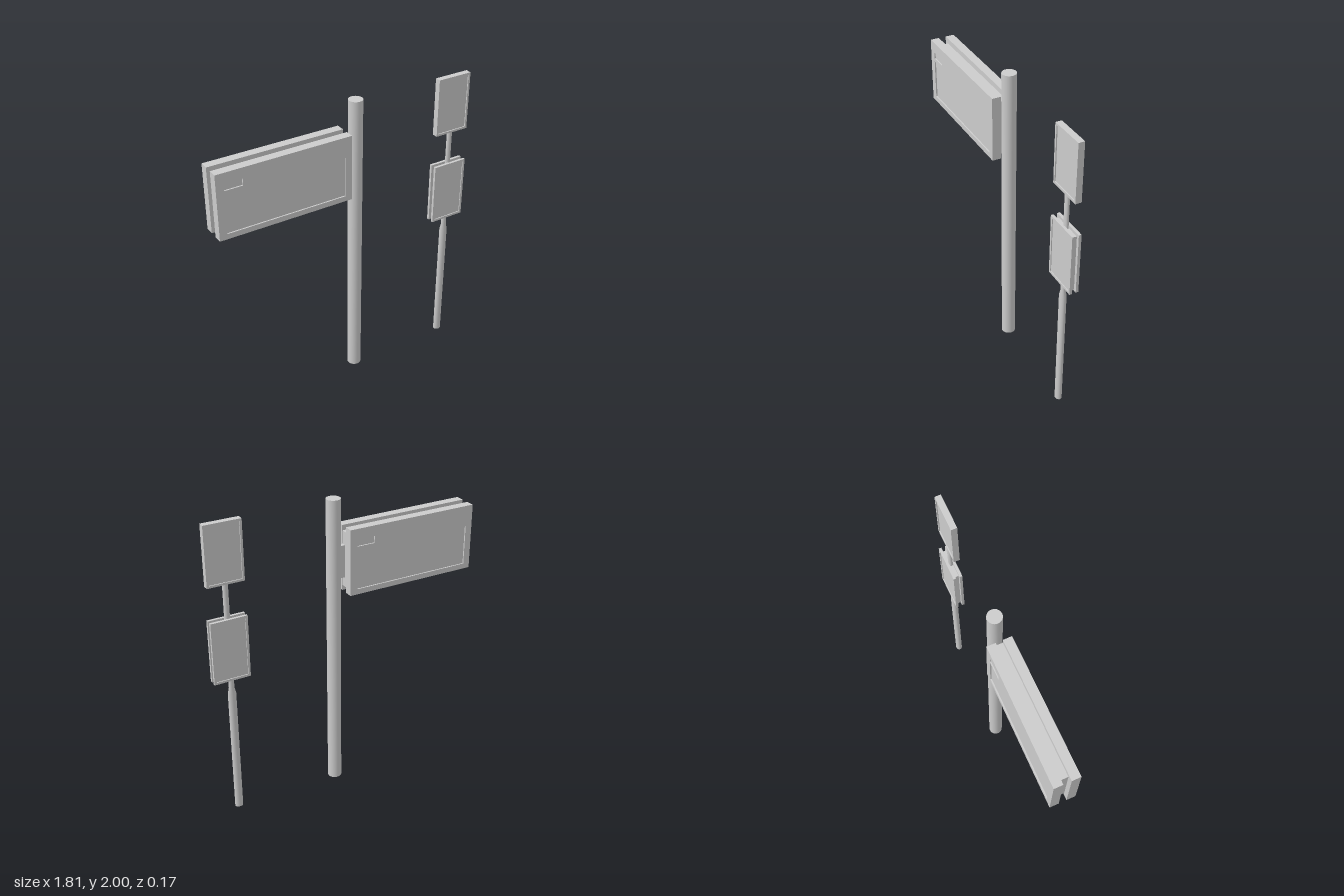
import * as THREE from 'three';

const grey = new THREE.MeshStandardMaterial({ color: 0xcccccc });

function add(parent, name, geometry, x = 0, y = 0, z = 0) {
  const mesh = new THREE.Mesh(geometry, grey);
  mesh.name = name;
  mesh.position.set(x, y, z);
  parent.add(mesh);
  return mesh;
}

// rectangle as [left, bottom, right, top]
function trace(path, [l, b, r, t]) {
  path.moveTo(l, b);
  path.lineTo(r, b);
  path.lineTo(r, t);
  path.lineTo(l, t);
  path.closePath();
  return path;
}

// slab centred on its origin, with recesses cut in its front (and back if doubleFaced)
function slab(name, w, h, d, depth, recesses, doubleFaced = false) {
  const group = new THREE.Group();
  group.name = name;
  const shape = trace(new THREE.Shape(), [-w / 2, -h / 2, w / 2, h / 2]);
  shape.holes = recesses.map((r) => trace(new THREE.Path(), r));
  const rim = new THREE.ExtrudeGeometry(shape, { depth, bevelEnabled: false });
  const core = d - depth * (doubleFaced ? 2 : 1);
  const front = d / 2 - depth;
  add(group, 'core', new THREE.BoxGeometry(w, h, core), 0, 0, front - core / 2);
  add(group, 'frontRim', rim, 0, 0, front);
  if (doubleFaced) add(group, 'backRim', rim, 0, 0, -front).rotation.y = Math.PI;
  return group;
}

// large flag sign on a thick post
function flagSign() {
  const sign = new THREE.Group();
  sign.name = 'flagSign';
  add(sign, 'post', new THREE.CylinderGeometry(0.046, 0.046, 2, 32), 0.067, 1, 0.007);

  const w = 0.9, h = 0.435, cx = -0.455, cy = 1.593;
  const recesses = [
    [-w / 2 + 0.05, -h / 2 + 0.035, w / 2 - 0.045, h / 2 - 0.135], // main display
    [-w / 2 + 0.05, h / 2 - 0.115, -w / 2 + 0.17, h / 2 - 0.07], // small slot
  ];
  for (const side of [1, -1]) {
    const face = slab(side > 0 ? 'frontCabinet' : 'backCabinet', w, h, 0.058, 0.009, recesses);
    face.position.set(cx, cy, side > 0 ? 0.054 : -0.051);
    face.rotation.y = side > 0 ? 0 : Math.PI - 0.006;
    sign.add(face);
  }
  // recessed core between the cabinets, and the bracket to the post
  add(sign, 'innerCore', new THREE.BoxGeometry(0.862, h - 0.07, 0.05), -0.438, cy, 0.001);
  add(sign, 'bracket', new THREE.BoxGeometry(0.07, 0.215, 0.028), 0.005, 1.583, 0.006);
  return sign;
}

// slim post with a single panel above a double panel
function postSign() {
  const sign = new THREE.Group();
  sign.name = 'postSign';
  sign.position.set(0.783, 0, 0.019);

  // slightly flattened tapering post
  const profile = [[0, 0], [0.027, 0], [0.027, 0.86], [0.018, 0.9], [0.018, 1.62], [0, 1.62]];
  const lathe = new THREE.LatheGeometry(profile.map(([x, y]) => new THREE.Vector2(x, y)), 24);
  add(sign, 'slimPost', lathe).scale.z = 0.8;

  const w = 0.24;
  const inset = (h, m) => [[-w / 2 + m, -h / 2 + m, w / 2 - m, h / 2 - m]];
  const upper = slab('upperPanel', w, 0.387, 0.04, 0.007, inset(0.387, 0.014), true);
  upper.position.set(0, 1.797, 0.002);
  sign.add(upper);

  for (const side of [1, -1]) {
    const face = slab(side > 0 ? 'lowerFrontPanel' : 'lowerBackPanel', w, 0.415, 0.018, 0.006, inset(0.415, 0.015));
    face.position.set(0, 1.173, side * 0.021);
    if (side < 0) face.rotation.y = Math.PI;
    sign.add(face);
  }
  add(sign, 'lowerCore', new THREE.BoxGeometry(0.2, 0.385, 0.026), 0, 1.168, 0);
  return sign;
}

export function createModel() {
  const model = new THREE.Group();
  model.name = 'signPosts';
  model.add(flagSign(), postSign());
  return model;
}
